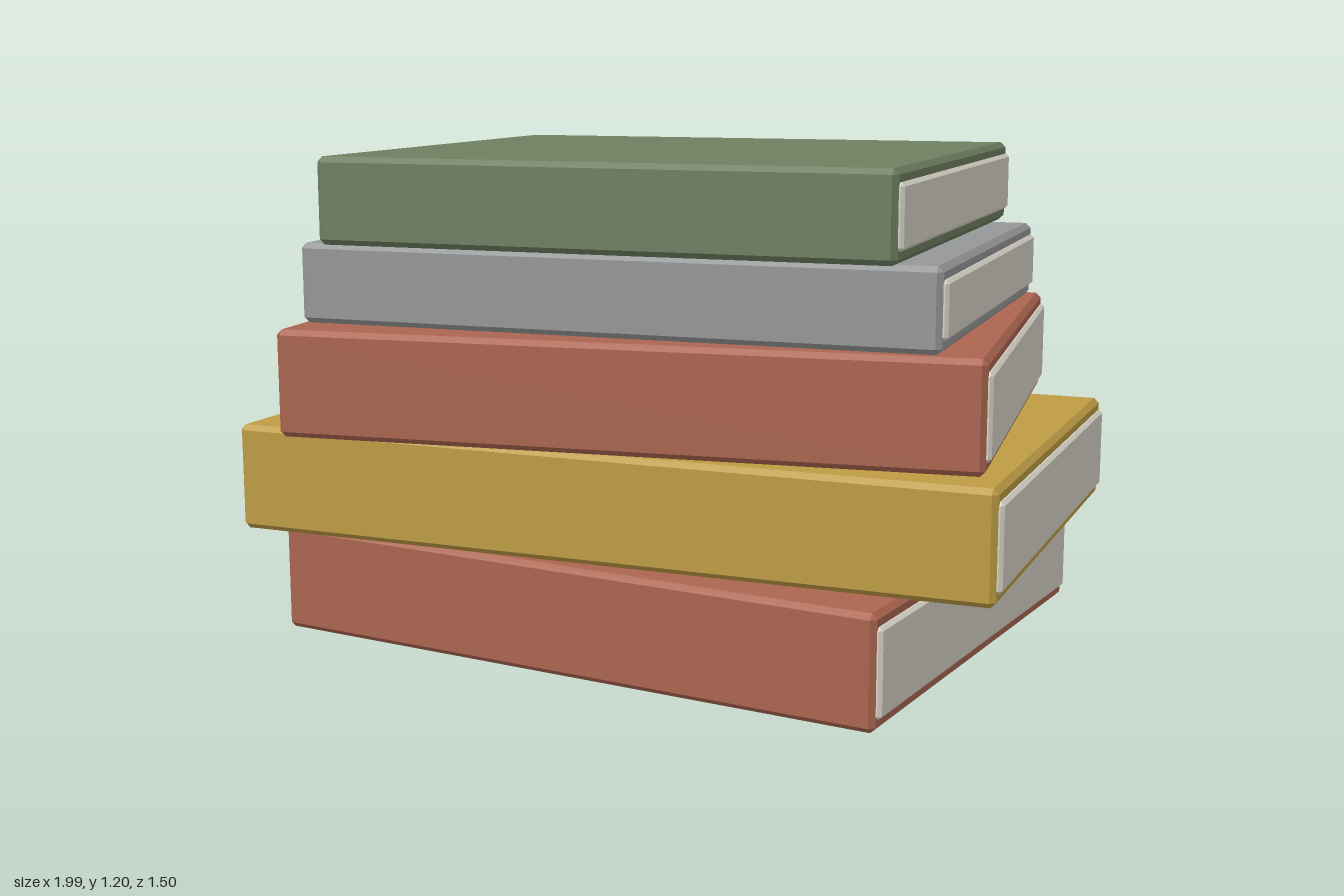
import * as THREE from 'three';
import { ConvexGeometry } from 'three/addons/geometries/ConvexGeometry.js';

// Box with flat chamfers on every edge
function chamferBox(w, h, d, b) {
  const points = [];
  for (const sx of [-1, 1]) for (const sy of [-1, 1]) for (const sz of [-1, 1]) {
    for (let axis = 0; axis < 3; axis++) {
      const [ix, iy, iz] = [0, 1, 2].map((i) => (i === axis ? 0 : b));
      points.push(new THREE.Vector3(sx * (w / 2 - ix), sy * (h / 2 - iy), sz * (d / 2 - iz)));
    }
  }
  return new ConvexGeometry(points);
}

export function createModel() {
  const flat = (name, color) => {
    const material = new THREE.MeshStandardMaterial({ color });
    material.name = name;
    return material;
  };
  const red = flat('brick red', 0xab6550);
  const gold = flat('mustard', 0xbe9c44);
  const gray = flat('gray', 0x969798);
  const green = flat('moss green', 0x6e7f60);
  const paper = flat('paper', 0xd8d4c8);

  // Stack from bottom to top: y range, width, depth, turn in degrees
  const books = [
    { name: 'bottomBook', material: red, y0: 0, y1: 0.266, w: 1.615, d: 1.237, turn: -2.8 },
    { name: 'secondBook', material: gold, y0: 0.268, y1: 0.53, w: 1.9, d: 1.18, turn: 4.4 },
    { name: 'middleBook', material: red, y0: 0.533, y1: 0.791, w: 1.675, d: 1.208, turn: 11 },
    { name: 'fourthBook', material: gray, y0: 0.796, y1: 0.988, w: 1.556, d: 1.124, turn: 7.1 },
    { name: 'topBook', material: green, y0: 0.991, y1: 1.197, w: 1.387, d: 1.243, turn: 6.9 },
  ];

  const model = new THREE.Group();
  model.name = 'bookStack';
  for (const { name, material, y0, y1, w, d, turn } of books) {
    const book = new THREE.Group();
    book.name = name;
    const h = y1 - y0;

    const cover = new THREE.Mesh(chamferBox(w, h, d, 0.013), material);
    cover.name = 'cover';

    // Page block standing slightly proud of the open side
    const pages = new THREE.Mesh(chamferBox(0.1, h - 0.06, d - 0.025, 0.008), paper);
    pages.name = 'pages';
    pages.position.x = w / 2 + 0.011 - 0.05;

    book.add(cover, pages);
    book.position.set(-0.006, (y0 + y1) / 2, 0);
    book.rotation.y = THREE.MathUtils.degToRad(turn);
    model.add(book);
  }
  return model;
}
